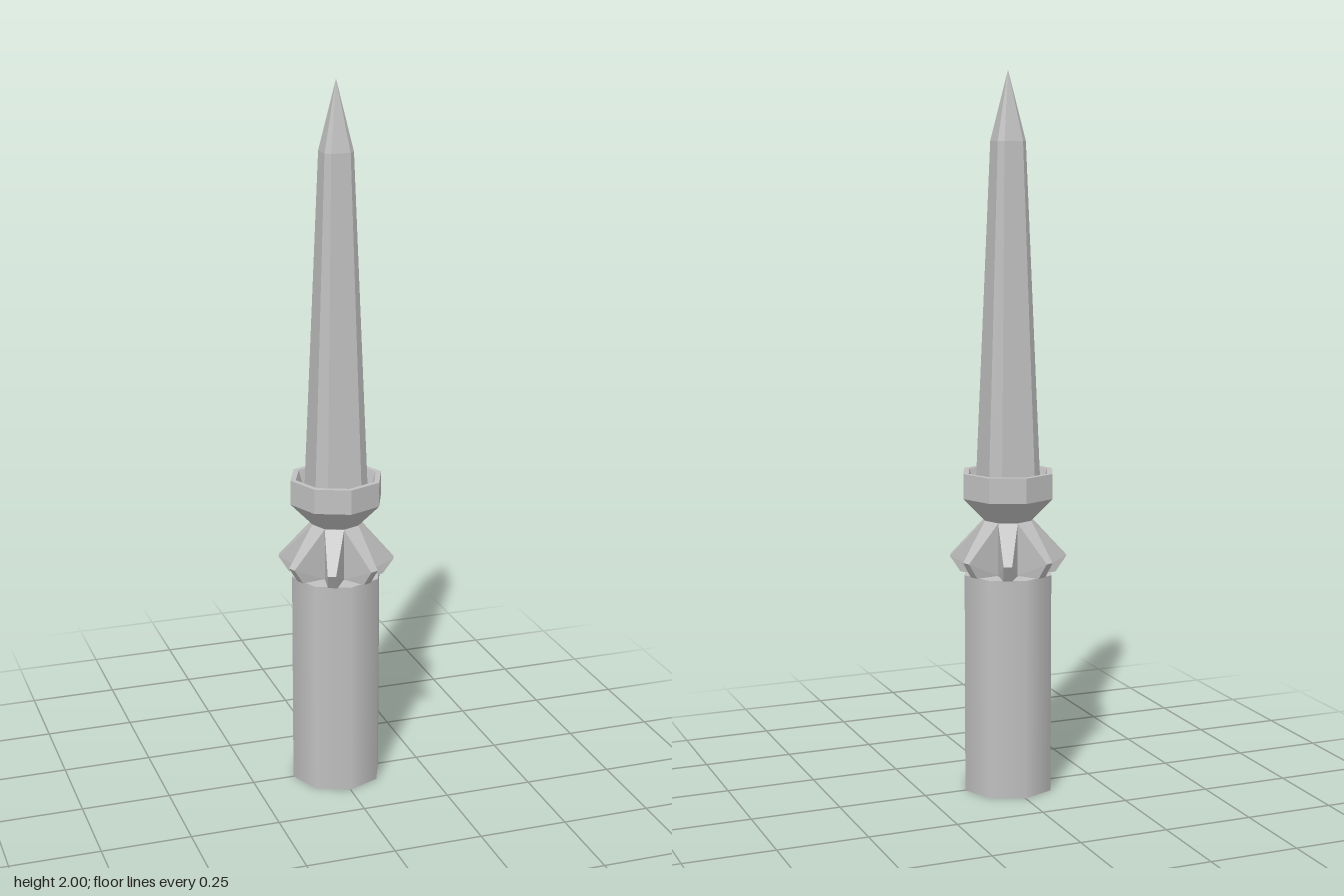
import * as THREE from 'three';
import { ConvexGeometry } from 'three/addons/geometries/ConvexGeometry.js';

const V = (x, y, z) => new THREE.Vector3(x, y, z);

// Square of half-width h with cut corners, at height y
function chamferedSquare(h, c, y) {
  return [[c, h], [h, c], [h, -c], [c, -h], [-c, -h], [-h, -c], [-h, c], [-c, h]]
    .map(([x, z]) => V(x, y, z));
}

export function createModel() {
  const model = new THREE.Group();
  const steel = new THREE.MeshStandardMaterial({ color: 0xc0c0c0 });
  steel.name = 'steelGrey';

  const add = (name, geometry, parent = model) => {
    const mesh = new THREE.Mesh(geometry, steel);
    mesh.name = name;
    parent.add(mesh);
    return mesh;
  };

  // Eight-sided faceted solid of revolution
  const facetedLathe = (points) => {
    const g = new THREE.LatheGeometry(points.map(([r, y]) => new THREE.Vector2(r, y)), 8)
      .toNonIndexed();
    g.computeVertexNormals();
    return g;
  };

  // Handle: smooth-shaded octagonal cylinder
  add('handle', new THREE.CylinderGeometry(0.13, 0.13, 0.62, 8)).position.y = 0.31;

  // Core behind the flanges, then the hollow cup that holds the blade
  add('core', facetedLathe([[0.07, 0.615], [0.07, 0.77]]));
  add('collar', facetedLathe([
    [0.07, 0.77], [0.133, 0.835], [0.133, 0.905],
    [0.117, 0.905], [0.096, 0.835], [0, 0.835],
  ]));

  // Ring of eight tapered flanges: [radius, height, half-width]
  const flangeSection = [
    [0.064, 0.77, 0.027], [0.162, 0.667, 0.0115],
    [0.132, 0.622, 0.013], [0.064, 0.622, 0.027],
  ];
  const flangePoints = flangeSection.flatMap(([r, y, w]) => [V(-w, y, r), V(w, y, r)]);
  const flangeGeometry = new ConvexGeometry(flangePoints);
  const flanges = new THREE.Group();
  flanges.name = 'flanges';
  for (let i = 0; i < 8; i++) {
    add('flange', flangeGeometry, flanges).rotation.y = (i + 0.5) * Math.PI / 4;
  }
  model.add(flanges);

  // Blade: chamfered square spike with a short pointed tip
  add('blade', new ConvexGeometry([
    ...chamferedSquare(0.078, 0.05, 0.83),
    ...chamferedSquare(0.041, 0.027, 1.81),
    V(0, 2, 0),
  ]));

  return model;
}
